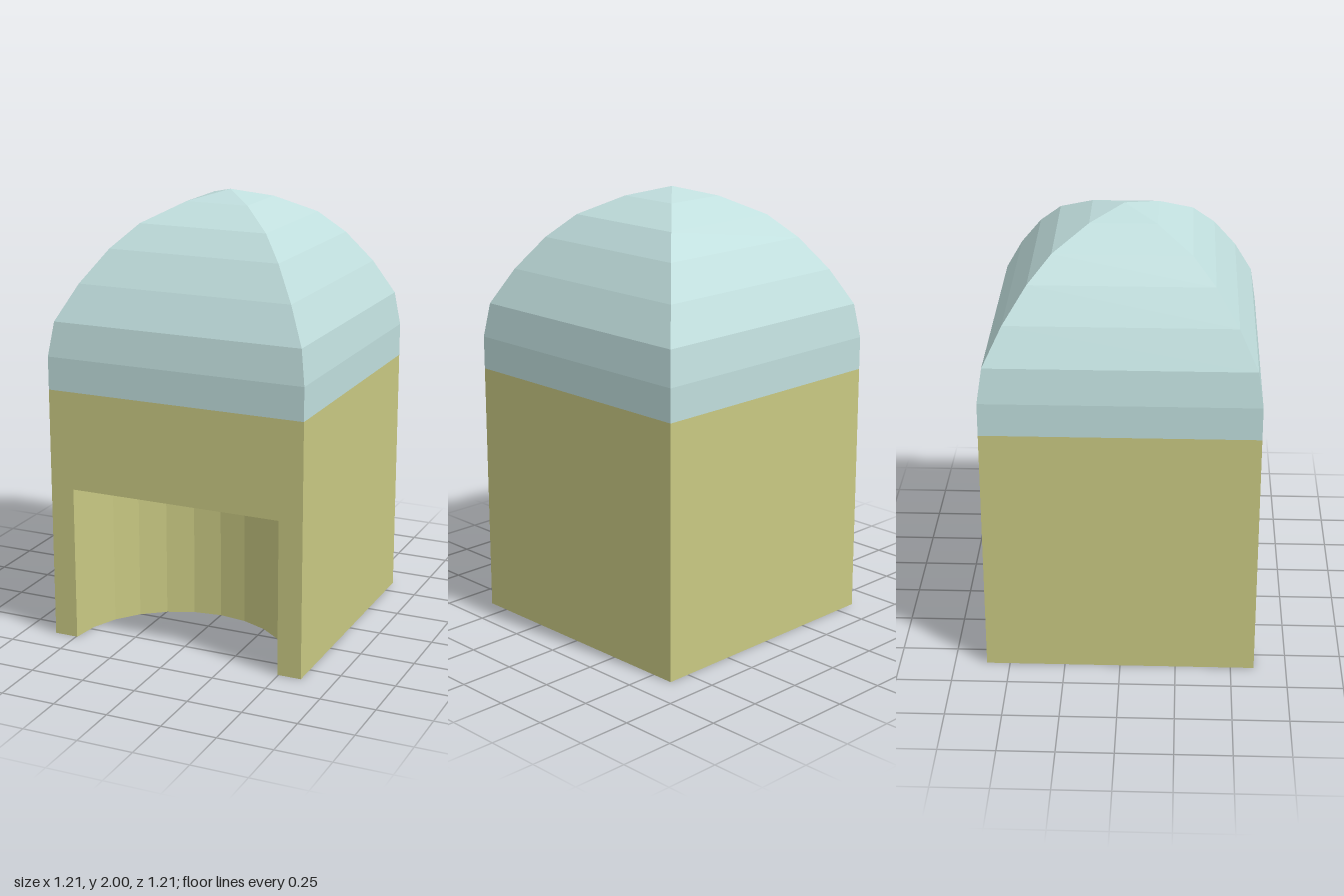
import * as THREE from 'three';

const HALF = 0.605;      // half width of the square plan
const WALL_TOP = 1.16;
const NICHE_R = 0.495;
const NICHE_H = 0.71;

const material = (color) =>
  new THREE.MeshStandardMaterial({ color, flatShading: true, side: THREE.DoubleSide });

export function createModel() {
  const model = new THREE.Group();
  const wallMat = material(0xc8c882);
  const domeMat = material(0xc0dedd);

  const add = (name, geometry, mat) => {
    const mesh = new THREE.Mesh(geometry, mat);
    mesh.name = name;
    model.add(mesh);
    return mesh;
  };

  // Plain walls: left, back and right
  ['leftWall', 'backWall', 'rightWall'].forEach((name, i) => {
    const wall = new THREE.PlaneGeometry(2 * HALF, WALL_TOP);
    wall.translate(0, WALL_TOP / 2, HALF);
    wall.rotateY((i + 1) * Math.PI / 2);
    add(name, wall, wallMat);
  });

  // Front wall with the doorway cut up from the ground
  const front = new THREE.Shape([
    [-HALF, 0], [-NICHE_R, 0], [-NICHE_R, NICHE_H], [NICHE_R, NICHE_H],
    [NICHE_R, 0], [HALF, 0], [HALF, WALL_TOP], [-HALF, WALL_TOP],
  ].map(([x, y]) => new THREE.Vector2(x, y)));
  add('frontWall', new THREE.ShapeGeometry(front).translate(0, 0, HALF), wallMat);

  // Half-round niche behind the doorway
  const niche = new THREE.CylinderGeometry(
    NICHE_R, NICHE_R, NICHE_H, 12, 1, true, Math.PI / 2, Math.PI);
  add('nicheWall', niche.translate(0, NICHE_H / 2, HALF), wallMat);

  // Ceiling across the whole inside, open to the ground below
  const ceiling = new THREE.PlaneGeometry(2 * HALF, 2 * HALF).rotateX(Math.PI / 2);
  add('ceiling', ceiling.translate(0, NICHE_H, 0), wallMat);

  // Four-sided dome: half width and height of each ring
  const profile = [
    [HALF, WALL_TOP], [HALF, 1.31], [0.582, 1.465], [0.5, 1.625],
    [0.4, 1.77], [0.3, 1.873], [0.147, 1.957], [0, 2],
  ].map(([w, y]) => new THREE.Vector2(w * Math.SQRT2, y));
  add('dome', new THREE.LatheGeometry(profile, 4, Math.PI / 4), domeMat);

  return model;
}
